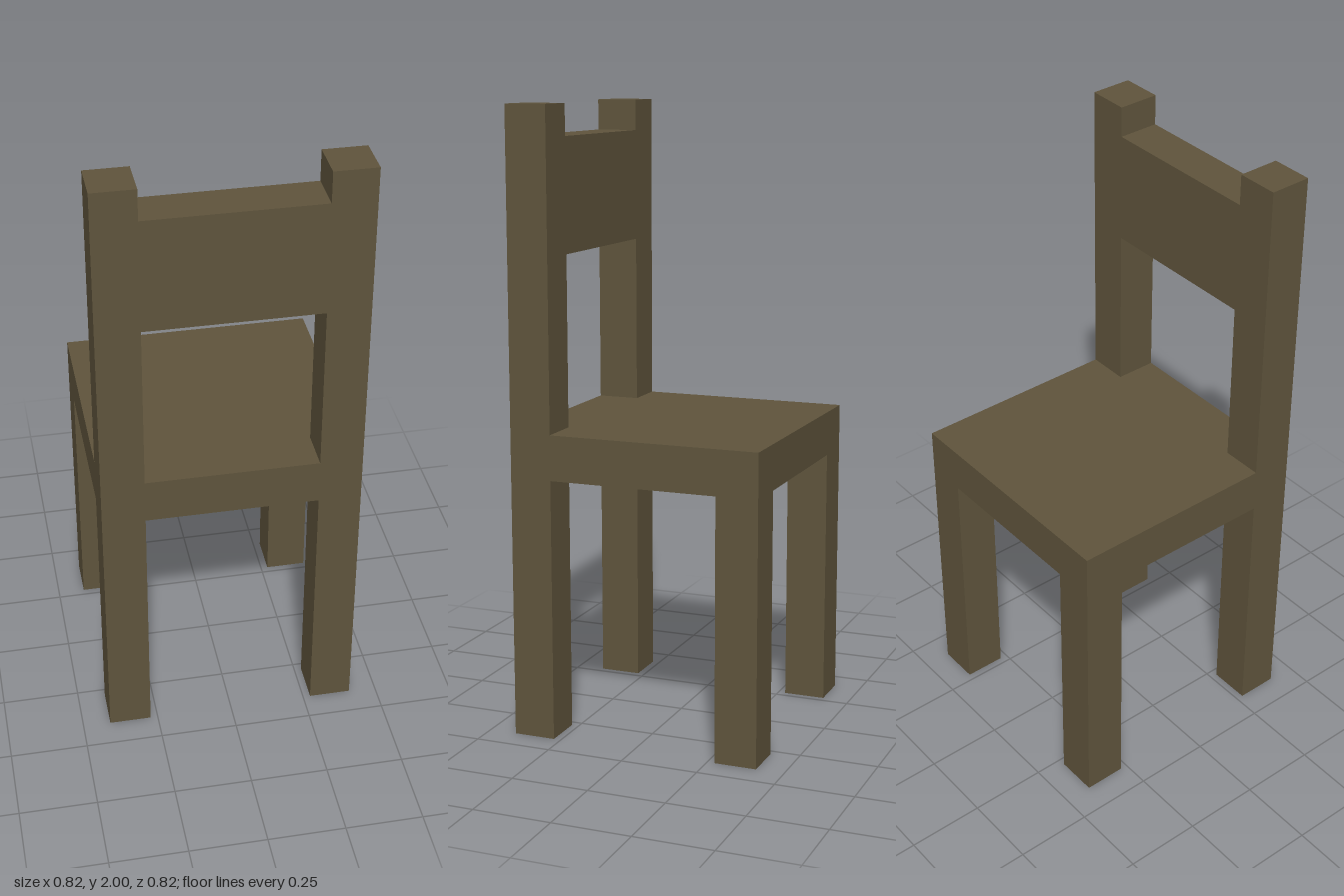
import * as THREE from 'three';

const HALF = 0.41;          // half width and half depth of the chair
const POST = 0.136;         // square section of legs and posts
const SEAT_BOTTOM = 0.845;
const SEAT_TOP = 0.99;
const INSET = HALF - POST / 2;

export function createModel() {
  const chair = new THREE.Group();
  chair.name = 'chair';
  const wood = new THREE.MeshStandardMaterial({ color: 0x5f543c, flatShading: true });

  // Box given by its width, depth, bottom and top heights and centre
  const addBox = (name, width, depth, bottom, top, x, z) => {
    const mesh = new THREE.Mesh(new THREE.BoxGeometry(width, top - bottom, depth), wood);
    mesh.name = name;
    mesh.position.set(x, (bottom + top) / 2, z);
    chair.add(mesh);
  };

  // Seat slab, flush with the outside of the legs
  addBox('seat', 2 * HALF, 2 * HALF, SEAT_BOTTOM, SEAT_TOP, 0, 0);

  // Four legs below the seat and two backrest posts above it (+z edge)
  for (const [side, s] of [['left', 1], ['right', -1]]) {
    addBox(`${side}LegBackrestEnd`, POST, POST, 0, SEAT_BOTTOM, s * INSET, INSET);
    addBox(`${side}LegOpenEnd`, POST, POST, 0, SEAT_BOTTOM, s * INSET, -INSET);
    addBox(`${side}BackPost`, POST, POST, SEAT_TOP, 2, s * INSET, INSET);
  }

  // Backrest panel between the posts, as thick as they are
  addBox('backrestPanel', 2 * (HALF - POST), POST, 1.537, 1.9, 0, INSET);

  return chair;
}
